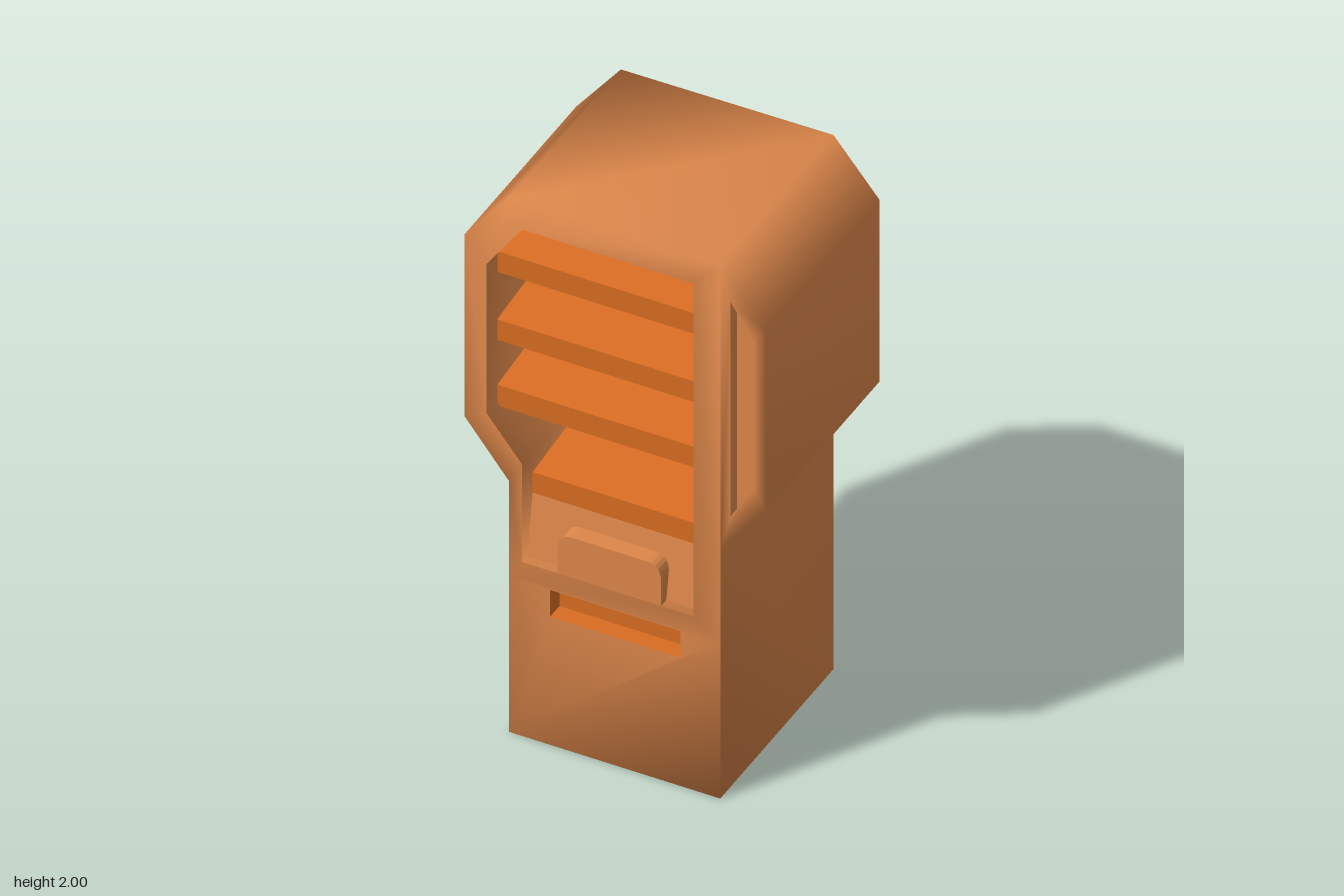
import * as THREE from 'three';
import { mergeGeometries, mergeVertices } from 'three/addons/utils/BufferGeometryUtils.js';

const bodyMat = new THREE.MeshStandardMaterial({ color: 0xdd874a });
const shelfMat = new THREE.MeshStandardMaterial({ color: 0xd96c22 });

// Loops run counter-clockwise as seen from the front
const OUTLINE = [[-0.36, 0], [0.355, 0], [0.355, 0.93], [0.51, 1.13], [0.51, 1.81],
  [0.355, 2], [-0.36, 2], [-0.51, 1.81], [-0.51, 1.13], [-0.36, 0.94]];
const FRAME = [[-0.36, 0.585], [0.355, 0.585], [0.355, 2], [-0.36, 2],
  [-0.51, 1.81], [-0.51, 1.13], [-0.36, 0.94]];
const OPENING = [[-0.30, 0.675], [0.28, 0.675], [0.28, 1.92], [-0.30, 1.92],
  [-0.42, 1.75], [-0.42, 1.19], [-0.30, 1.04]];
const LOWER = [[-0.36, 0], [0.355, 0], [0.355, 0.585], [-0.36, 0.585]];
const SLOT = [[-0.22, 0.48], [0.22, 0.48], [0.22, 0.58], [-0.22, 0.58]];
const FLANGE = [[0.355, 0.93], [0.51, 1.13], [0.51, 1.81], [0.355, 2]];
const WINDOW = [[0.39, 1.07], [0.47, 1.2], [0.47, 1.75], [0.39, 1.87]];

const FACE = 0.35, RIM = 0.378, CAVITY = -0.02;
const backZ = (x) => -0.375 - 0.01 * x;
const at = (loop, z) => loop.map(([x, y]) => [x, y, typeof z === 'function' ? z(x) : z]);
const toPoints = (loop) => loop.map(([x, y]) => new THREE.Vector2(x, y));

// Strip of quads between two loops with matching points
function loft(a, b) {
  const n = a.length, index = [];
  for (let i = 0; i < n; i++) {
    const j = (i + 1) % n;
    index.push(i, j, n + j, i, n + j, n + i);
  }
  const g = new THREE.BufferGeometry();
  g.setAttribute('position', new THREE.Float32BufferAttribute([...a, ...b].flat(), 3));
  g.setIndex(index);
  return g;
}

// Flat face at depth z, with an optional hole, turned to the back if asked
function cap(loop, z, hole, back = false) {
  const shape = new THREE.Shape(toPoints(loop));
  if (hole) shape.holes.push(new THREE.Path(toPoints(hole)));
  const g = new THREE.ShapeGeometry(shape);
  g.deleteAttribute('uv');
  g.deleteAttribute('normal');
  const p = g.attributes.position;
  for (let i = 0; i < p.count; i++) p.setZ(i, typeof z === 'function' ? z(p.getX(i)) : z);
  if (back) g.setIndex(Array.from(g.index.array).reverse());
  return g;
}

// Joins pieces and shades them as one smooth surface
function smooth(parts) {
  const g = mergeVertices(mergeGeometries(parts), 1e-4);
  g.computeVertexNormals();
  return g;
}

// Sharp-edged pocket behind a hole
function pocket(loop, front, depth) {
  const g = mergeGeometries([
    loft(at(loop, front), at(loop, front - depth)),
    cap(loop, front - depth),
  ]).toNonIndexed();
  g.computeVertexNormals();
  return g;
}

// Side profile of [z, y] points, stretched from x0 to x1
function crossbar(profile, x0, x1) {
  const g = new THREE.ExtrudeGeometry(new THREE.Shape(toPoints(profile)),
    { depth: x1 - x0, bevelEnabled: false });
  return g.rotateY(-Math.PI / 2).translate(x1, 0, 0);
}

export function createModel() {
  const group = new THREE.Group();
  const add = (name, geometry, material = bodyMat) => {
    const mesh = new THREE.Mesh(geometry, material);
    mesh.name = name;
    group.add(mesh);
  };

  // Cabinet with sloping raised frame around the opening
  add('cabinet', smooth([
    loft(at(OUTLINE, backZ), at(OUTLINE, FACE)),
    cap(OUTLINE, backZ, null, true),
    cap(LOWER, FACE, SLOT),
    cap(FLANGE, FACE, WINDOW),
    loft(at(FRAME, FACE), at(OPENING, RIM)),
  ]));

  // Display cavity
  add('cavity', smooth([
    loft(at(OPENING, RIM), at(OPENING, CAVITY)),
    cap(OPENING, CAVITY),
  ]));

  // Pockets in the front
  add('dispenserSlot', pocket(SLOT, FACE, 0.06), shelfMat);
  add('sidePanelRecess', pocket(WINDOW, FACE, 0.04));

  // Shelves, rising slightly towards the back
  [0.89, 1.175, 1.42, 1.675].forEach((y, i) => {
    const profile = [[CAVITY, y], [0.31, y], [0.31, y + 0.077], [CAVITY, y + 0.115]];
    add('shelf' + (i + 1), crossbar(profile, i === 0 ? -0.30 : -0.42, 0.28), shelfMat);
  });

  // Leaning panel under the lowest shelf
  add('lowerPanel', crossbar(
    [[CAVITY, 0.675], [0.345, 0.675], [0.31, 0.89], [CAVITY, 0.89]], -0.30, 0.28));

  // Round-cornered tab standing on the bottom of the frame
  const tab = new THREE.Shape();
  tab.moveTo(-0.18, 0.675).lineTo(0.17, 0.675).lineTo(0.17, 0.775);
  tab.quadraticCurveTo(0.165, 0.825, 0.12, 0.825).lineTo(-0.13, 0.825);
  tab.quadraticCurveTo(-0.175, 0.825, -0.18, 0.775);
  add('tab', new THREE.ExtrudeGeometry(tab, { depth: RIM - 0.28, bevelEnabled: false, curveSegments: 5 })
    .translate(0, 0, 0.28));

  return group;
}
